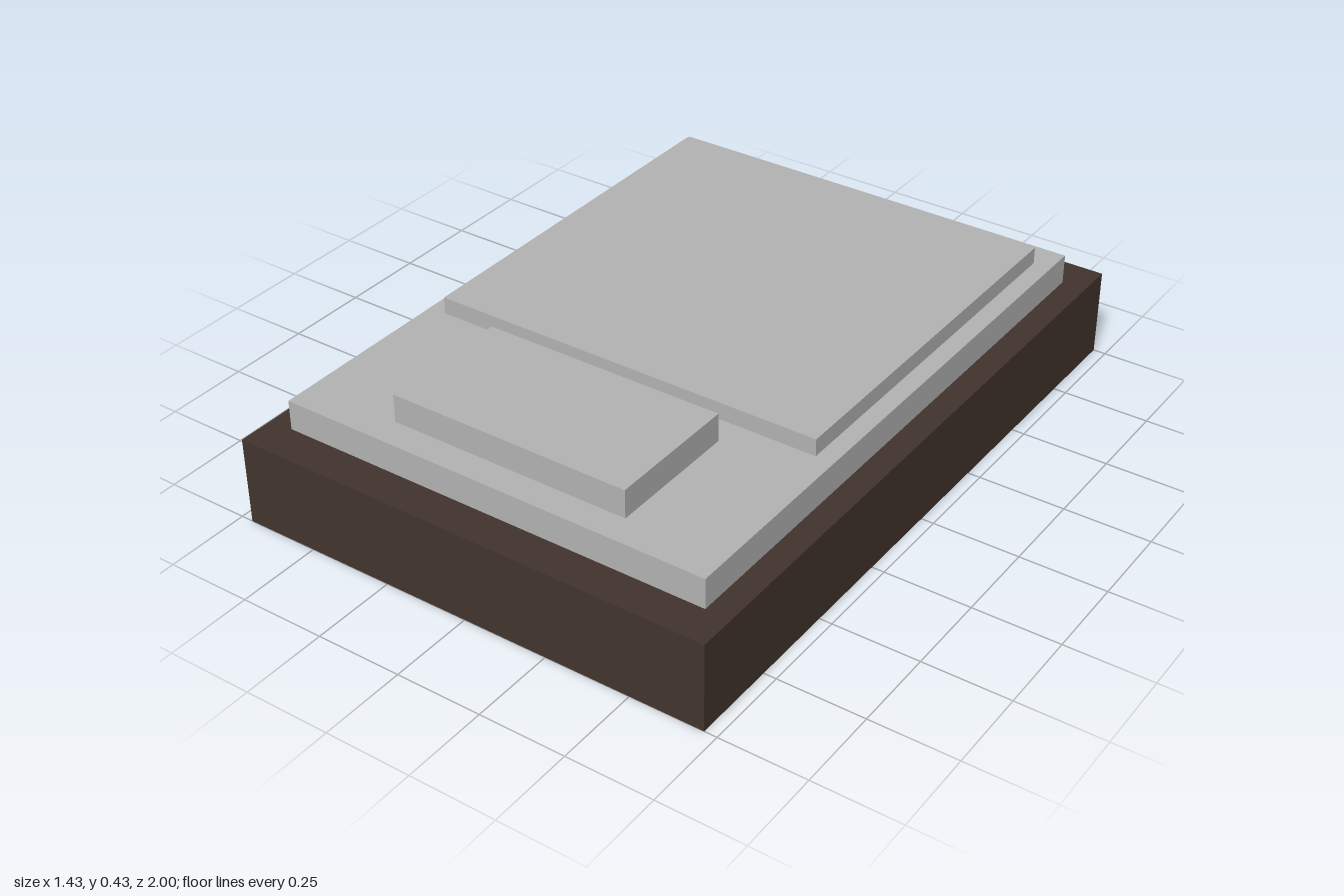
import * as THREE from 'three';

export function createModel() {
  const bed = new THREE.Group();
  bed.name = 'bed';

  const wood = new THREE.MeshStandardMaterial({ color: 0x42342d });
  wood.name = 'dark wood';
  const linen = new THREE.MeshStandardMaterial({ color: 0xb3b3b3 });
  linen.name = 'grey linen';

  // Box centred on x, given by its width and its y and z ranges
  function slab(name, material, width, [y0, y1], [z0, z1]) {
    const mesh = new THREE.Mesh(new THREE.BoxGeometry(width, y1 - y0, z1 - z0), material);
    mesh.position.set(0, (y0 + y1) / 2, (z0 + z1) / 2);
    mesh.name = name;
    bed.add(mesh);
  }

  slab('bedFrame', wood, 1.428, [0, 0.257], [-1, 1]);
  slab('mattress', linen, 1.286, [0.257, 0.344], [-0.893, 0.893]);
  // Blanket covers the back part, pillow lies at the front end
  slab('blanket', linen, 1.18, [0.344, 0.394], [-0.805, 0.338]);
  slab('pillow', linen, 0.714, [0.344, 0.426], [0.42, 0.81]);

  return bed;
}
